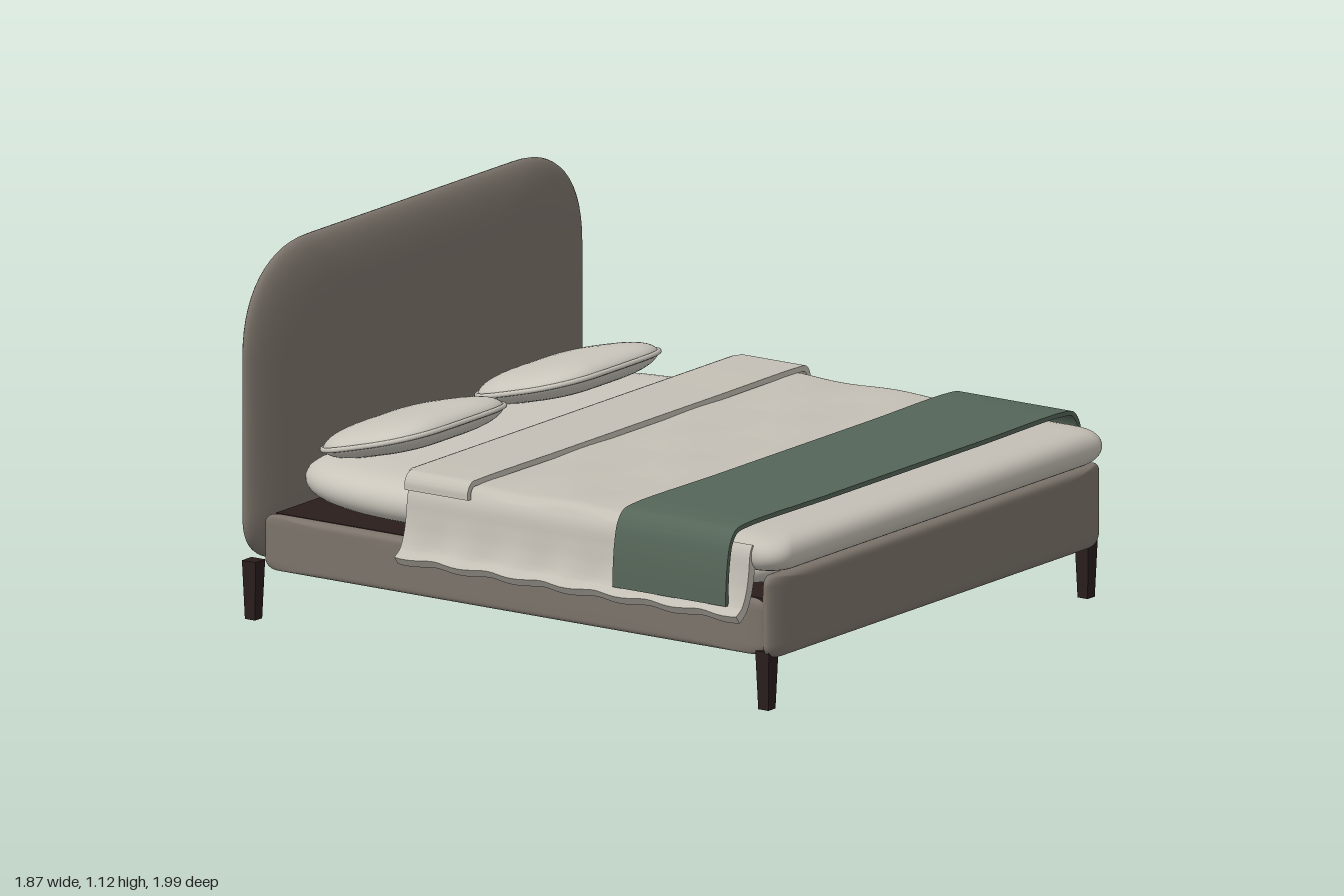
import * as THREE from 'three';
import { toCreasedNormals } from 'three/addons/utils/BufferGeometryUtils.js';

// Outline with soft corners: [rx, ry] for the top and bottom pairs, e = squareness
function outline(hw, hh, top, bottom, e = 2, steps = 14) {
  const pts = [];
  const corners = [[1, 1, top], [-1, 1, top], [-1, -1, bottom], [1, -1, bottom]];
  corners.forEach(([sx, sy, [rx, ry]], q) => {
    for (let i = 0; i <= steps; i++) {
      const a = ((q % 2 ? steps - i : i) / steps) * Math.PI / 2;
      const c = Math.max(0, Math.cos(a)) ** (2 / e), s = Math.max(0, Math.sin(a)) ** (2 / e);
      pts.push([sx * (hw - rx + rx * c), sy * (hh - ry + ry * s)]);
    }
  });
  return pts;
}

// Padded panel: outline in XY, swelling to +-depth in z; higher n gives a flatter face
function padded(pts, depth, n, rings = 24) {
  const pos = [], idx = [], m = pts.length;
  for (let k = 0; k <= rings; k++) {
    const u = (k / rings) * Math.PI;
    const r = k === 0 || k === rings ? 0 : Math.sin(u) ** (2 / n);
    for (const [x, y] of pts) pos.push(x * r, y * r, depth * Math.cos(u));
  }
  for (let k = 0; k < rings; k++) for (let j = 0; j < m; j++) {
    const a = k * m + j, b = k * m + (j + 1) % m, c = a + m, d = b + m;
    idx.push(a, c, b, b, c, d);
  }
  return build(pos, idx);
}

// Cloth: half of a cross-section mirrored across x, swept along z with a thickness
function cloth(half, z0, z1, thick, slices = 1, ripple = p => p) {
  const all = [...half, ...half.slice(0, -1).reverse().map(([x, y]) => [-x, y])];
  const curve = new THREE.CatmullRomCurve3(all.map(([x, y]) => new THREE.Vector3(x, y, 0)));
  const n = (all.length - 1) * 6, mid = curve.getPoints(n), m = 2 * (n + 1);
  const pos = [], idx = [];
  for (let s = 0; s <= slices; s++) {
    const z = z0 + (z1 - z0) * s / slices;
    for (const side of [1, -1]) for (let i = 0; i <= n; i++) {
      const t = curve.getTangent(i / n), o = side * thick / 2;
      const p = ripple(mid[i].clone().setZ(z));
      pos.push(p.x - t.y * o, p.y + t.x * o, p.z);
    }
  }
  for (let s = 0; s < slices; s++) for (let i = 0; i < m; i++) {
    const loop = j => s * m + (j % m <= n ? j % m : n + 1 + (m - 1 - j % m));
    const a = loop(i), b = loop(i + 1), c = a + m, d = b + m;
    idx.push(a, c, b, b, c, d);
  }
  for (let i = 0; i < n; i++) {
    const o = i, q = i + n + 1, e = slices * m;
    idx.push(o, o + 1, q, o + 1, q + 1, q);
    idx.push(e + o, e + q, e + o + 1, e + o + 1, e + q, e + q + 1);
  }
  return toCreasedNormals(build(pos, idx), 0.8);
}

function build(pos, idx) {
  const g = new THREE.BufferGeometry();
  g.setAttribute('position', new THREE.Float32BufferAttribute(pos, 3));
  g.setIndex(idx);
  g.computeVertexNormals();
  return g;
}

export function createModel() {
  const bed = new THREE.Group();
  bed.name = 'bed';
  const material = (name, color) => {
    const m = new THREE.MeshStandardMaterial({ color });
    m.name = name;
    return m;
  };
  const upholstery = material('taupe upholstery', 0x7b736a);
  const wood = material('dark wood', 0x2a1e1d);
  const linen = material('linen', 0xc4bfb5);
  const sheet = material('pale sheet', 0xc9c5bb);
  const green = material('green throw', 0x556558);
  const add = (name, geo, mat, x = 0, y = 0, z = 0, parent = bed) => {
    const mesh = new THREE.Mesh(geo, mat);
    mesh.name = name;
    mesh.position.set(x, y, z);
    parent.add(mesh);
    return mesh;
  };

  // Upholstered frame
  add('headboard', padded(outline(0.865, 0.478, [0.34, 0.32], [0.2, 0.15], 2.3), 0.055, 5),
    upholstery, 0, 0.643, -0.945);
  add('footboard', padded(outline(0.855, 0.127, [0.03, 0.03], [0.05, 0.04]), 0.032, 14),
    upholstery, 0, 0.286, 0.944);
  const railGeo = padded(outline(0.91, 0.085, [0.04, 0.03], [0.04, 0.03]), 0.027, 14);
  for (const side of [1, -1]) {
    const name = side > 0 ? 'left' : 'right';
    add(name + 'Rail', railGeo, upholstery, side * 0.828, 0.25, 0.018).rotation.y = Math.PI / 2;
  }
  add('platform', new THREE.BoxGeometry(1.6, 0.1, 1.79), wood, 0, 0.28, 0.02);

  // Tapered legs
  const legGeo = toCreasedNormals(
    new THREE.CylinderGeometry(0.035, 0.026, 0.18, 4).rotateY(Math.PI / 4), 0.5);
  for (const x of [-0.82, 0.82]) for (const z of [0.927, -0.942])
    add(z > 0 ? 'frontLeg' : 'backLeg', legGeo, wood, x, 0.09, z);

  // Mattress and the plump body of the duvet
  add('mattress', padded(outline(0.8, 0.895, [0.2, 0.4], [0.08, 0.08]), 0.076, 16),
    sheet, 0, 0.414, 0.01).rotation.x = -Math.PI / 2;
  add('duvetBody', padded(outline(0.862, 0.667, [0.01, 0.01], [0.08, 0.08]), 0.061, 22),
    linen, 0, 0.47, 0.327).rotation.x = -Math.PI / 2;

  // Duvet cover with rippled hems, sinking into the body near the foot
  const duvetHalf = [[-0.918, 0.288], [-0.89, 0.31], [-0.87, 0.36], [-0.86, 0.42],
    [-0.852, 0.48], [-0.83, 0.51], [-0.78, 0.517], [-0.5, 0.517], [-0.25, 0.517], [0, 0.517]];
  add('duvetCover', cloth(duvetHalf, -0.347, 0.9, 0.03, 60, p => {
    const hem = THREE.MathUtils.clamp((0.45 - p.y) / 0.17, 0, 1) ** 2;
    const flat = p.y > 0.5 ? 1 : 0;
    const phase = p.z * 32 + (p.x > 0 ? 0.8 : 0);
    const foot = THREE.MathUtils.smoothstep(p.z, 0.55, 0.8);
    p.y += flat * ((1 - foot) * 0.004 * Math.sin(p.z * 16 + 1) * Math.cos(p.x * 11) - 0.018 * foot);
    p.x += Math.sign(p.x) * hem * 0.01 * Math.sin(phase);
    p.y += hem * 0.004 * Math.cos(phase);
    p.z += hem * 0.015 * Math.min(0, -p.z);
    return p;
  }), linen);

  // Turned-back fold and its rolled edge
  const foldHalf = [[-0.872, 0.495], [-0.87, 0.52], [-0.855, 0.538], [-0.82, 0.541],
    [-0.4, 0.541], [0, 0.541]];
  add('duvetFold', cloth(foldHalf, -0.35, -0.12, 0.018), linen);
  add('foldRoll', new THREE.CapsuleGeometry(0.017, 1.65, 6, 12).rotateZ(Math.PI / 2),
    linen, 0, 0.534, -0.354);

  // Throw blanket
  const throwHalf = [[-0.914, 0.322], [-0.912, 0.38], [-0.905, 0.45], [-0.89, 0.51],
    [-0.865, 0.54], [-0.82, 0.549], [-0.4, 0.549], [0, 0.549]];
  add('throwBlanket', cloth(throwHalf, 0.436, 0.848, 0.014), green);

  // Pillows with piped seams, propped up toward the foot
  const edge = outline(0.302, 0.2, [0.2, 0.17], [0.2, 0.17], 2.3);
  const pillowGeo = padded(edge, 0.055, 3);
  const seam = new THREE.CatmullRomCurve3(
    outline(0.304, 0.202, [0.2, 0.17], [0.2, 0.17], 2.3, 8).filter((p, i) => i % 9 !== 8 || i % 2 === 0)
      .map(([x, y]) => new THREE.Vector3(x, y, 0)), true);
  const pipingGeo = new THREE.TubeGeometry(seam, 96, 0.008, 8, true);
  for (const side of [1, -1]) {
    const pillow = new THREE.Group();
    pillow.name = side > 0 ? 'leftPillow' : 'rightPillow';
    pillow.position.set(side * 0.397, 0.54, -0.66);
    pillow.rotation.x = -Math.PI / 2 - 0.25;
    add('pillowCushion', pillowGeo, sheet, 0, 0, 0, pillow);
    add('pillowPiping', pipingGeo, sheet, 0, 0, 0, pillow);
    bed.add(pillow);
  }
  return bed;
}
